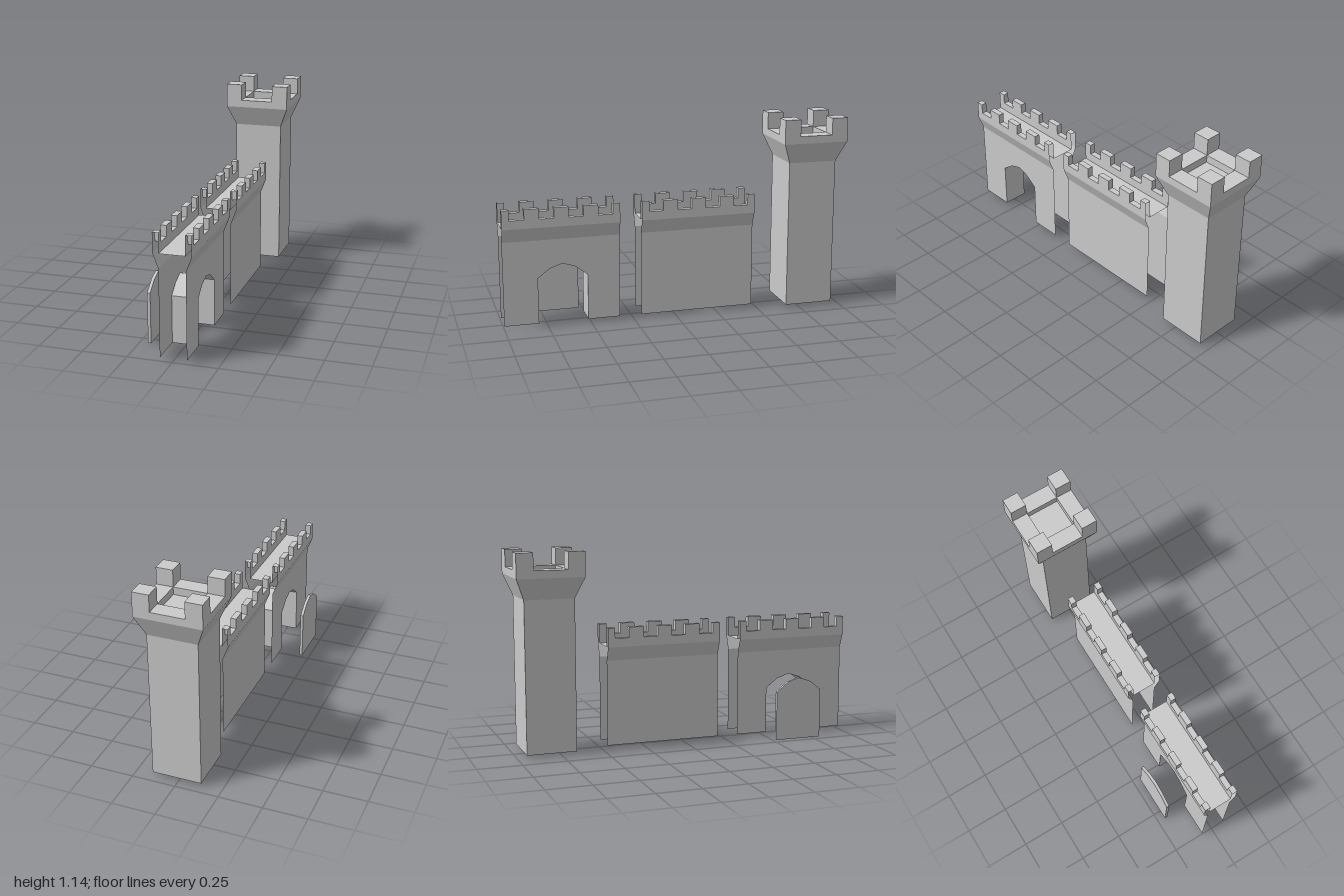
import * as THREE from 'three';

const stone = new THREE.MeshStandardMaterial({ color: 0xcccccc, flatShading: true, side: THREE.DoubleSide });

const CX = 0.0075;          // centre line of walls and tower
const BODY = 0.0735;        // half width of the wall body
const CROWN = 0.1045;       // half width of the wall top
const INNER = 0.071;        // half width of the walkway
const BASE = 0.02, FLARE = 0.51, WALK = 0.59, CRENEL = 0.64, MERLON = 0.70;

function part(geometry, name) {
  const mesh = new THREE.Mesh(geometry, stone);
  mesh.name = name;
  return mesh;
}

// Sheets made of quads, each given by four corners
function sheet(quads, name) {
  const pos = quads.flatMap(([a, b, c, d]) => [a, b, c, a, c, d].flat());
  const g = new THREE.BufferGeometry();
  g.setAttribute('position', new THREE.Float32BufferAttribute(pos, 3));
  g.computeVertexNormals();
  return part(g, name);
}

// Sweep an open x/y profile along z, leaving the ends open
function sweep(profile, z0, z1) {
  return profile.slice(1).map(([x, y], i) => {
    const [px, py] = profile[i];
    return [[px, py, z1], [px, py, z0], [x, y, z0], [x, y, z1]];
  });
}

// Pointed arch outline as z/y points
function arch(center, half, base) {
  const rise = [[1, base], [1, 0.288], [0.5, 0.342], [0, 0.365], [-0.5, 0.342], [-1, 0.288], [-1, base]];
  return rise.map(([t, y]) => [center + t * half, y]);
}

const toShape = (pts) => new THREE.Shape(pts.map(([a, b]) => new THREE.Vector2(a, b)));

// Battlemented parapet for one side (s = 1 or -1)
function parapet(s, z0, z1) {
  const step = (z1 - z0) / 16;
  const quads = [];
  const o = s * CROWN, i = s * INNER;
  // half merlons at the ends, full merlons and gaps between
  const cuts = [0, 1, 3, 5, 7, 9, 11, 13, 15, 16].map((k) => z0 + k * step);
  for (let k = 0; k < cuts.length - 1; k++) {
    const top = k % 2 === 0 ? MERLON : CRENEL;
    quads.push(...sweep([[o, WALK], [o, top], [i, top], [i, WALK]], cuts[k], cuts[k + 1]));
    if (k > 0) {
      const z = cuts[k];
      quads.push([[o, CRENEL, z], [i, CRENEL, z], [i, MERLON, z], [o, MERLON, z]]);
    }
  }
  return sheet(quads, s > 0 ? 'leftParapet' : 'rightParapet');
}

// Hollow wall segment with open ends, optionally pierced by a gateway
function wall(name, z0, z1, opening) {
  const group = new THREE.Group();
  group.name = name;
  group.position.x = CX;
  const outline = [[z0, FLARE], [z0, BASE], ...(opening ? [...opening].reverse() : []), [z1, BASE], [z1, FLARE]];

  for (const s of [-1, 1]) {
    const face = new THREE.ShapeGeometry(toShape(outline)).rotateY(s * Math.PI / 2);
    if (s > 0) face.scale(1, 1, -1);   // keep both faces on the same z range
    if (s > 0) {                       // restore outward winding after mirroring
      const idx = face.index.array;
      for (let i = 0; i < idx.length; i += 3) [idx[i], idx[i + 1]] = [idx[i + 1], idx[i]];
    }
    face.translate(s * BODY, 0, 0);
    face.computeVertexNormals();
    group.add(part(face, s > 0 ? 'leftFace' : 'rightFace'));
    group.add(sheet(sweep([[s * BODY, FLARE], [s * CROWN, WALK]], z0, z1), 'corbel'));
    group.add(parapet(s, z0, z1));
  }
  group.add(sheet(sweep([[INNER, WALK], [-INNER, WALK]], z0, z1), 'walkway'));

  if (opening) {
    const quads = opening.slice(1).map(([z, y], i) => {
      const [pz, py] = opening[i];
      return [[-BODY, py, pz], [BODY, py, pz], [BODY, y, z], [-BODY, y, z]];
    });
    group.add(sheet(quads, 'gateTunnel'));
  }
  return group;
}

// Square tower with flared top, sunken platform and corner merlons
function tower() {
  const group = new THREE.Group();
  group.name = 'tower';
  group.position.set(CX + 0.001, 0, -0.809);
  const half = 0.191, merlon = 0.095;
  const profile = [[0.142, BASE], [0.142, 0.88], [half, 1.0], [half, 1.043],
    [half - merlon, 1.043], [half - merlon, 1.0], [0, 1.0]];
  const body = new THREE.LatheGeometry(profile.map(([r, y]) => new THREE.Vector2(r * Math.SQRT2, y)), 4);
  group.add(part(body.rotateY(Math.PI / 4), 'towerBody'));
  for (const sx of [-1, 1]) {
    for (const sz of [-1, 1]) {
      const m = part(new THREE.BoxGeometry(merlon, 0.097, merlon), 'towerMerlon');
      m.position.set(sx * (half - merlon / 2), 1.0915, sz * (half - merlon / 2));
      group.add(m);
    }
  }
  return group;
}

// Loose arched door standing beside the gateway
function door() {
  const g = new THREE.ExtrudeGeometry(toShape(arch(0.662, 0.14, 0)), { depth: 0.017, bevelEnabled: false });
  g.rotateY(-Math.PI / 2);
  const mesh = part(g, 'door');
  mesh.position.x = -0.187;
  return mesh;
}

export function createModel() {
  const model = new THREE.Group();
  model.name = 'castleParts';
  model.add(
    wall('gateWall', 0.33, 1.0, arch(0.659, 0.143, BASE)),
    wall('plainWall', -0.47, 0.203),
    tower(),
    door(),
  );
  return model;
}
